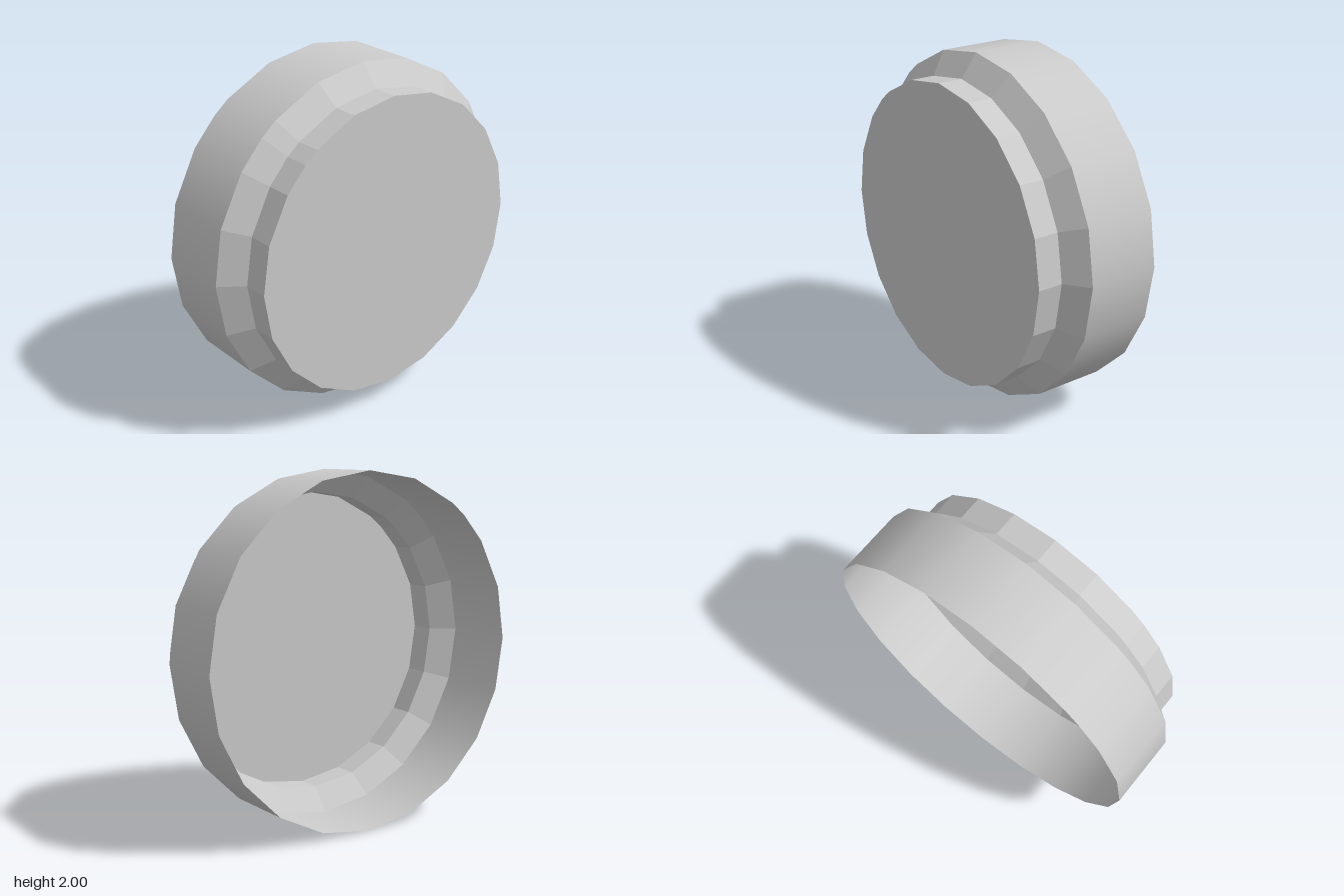
import * as THREE from 'three';

const SIDES = 20;
const RIM = 1, COLLAR = 0.87;
const BACK = -0.33, SHOULDER_BACK = 0.09, SHOULDER_FRONT = 0.185, FRONT = 0.33;

// Angles clockwise from the top, with one extra corner on the upper right-hand side
const angles = Array.from({ length: SIDES }, (_, i) => (i * 2 * Math.PI) / SIDES);
angles.push(THREE.MathUtils.degToRad(360 - 42.5));
angles.sort((a, b) => a - b);
angles.push(2 * Math.PI);

// Band of quads between a back ring and a front ring
function band(backR, backZ, frontR, frontZ, smooth) {
  const positions = [], normals = [], index = [];
  angles.forEach((a, i) => {
    const s = Math.sin(a), c = Math.cos(a);
    positions.push(backR * s, backR * c, backZ, frontR * s, frontR * c, frontZ);
    normals.push(s, c, 0, s, c, 0);
    if (i < angles.length - 1) {
      const k = i * 2;
      index.push(k, k + 1, k + 3, k, k + 3, k + 2);
    }
  });
  const geometry = new THREE.BufferGeometry();
  geometry.setAttribute('position', new THREE.Float32BufferAttribute(positions, 3));
  geometry.setAttribute('normal', new THREE.Float32BufferAttribute(normals, 3));
  geometry.setIndex(index);
  if (smooth) return geometry;
  const flat = geometry.toNonIndexed();
  flat.computeVertexNormals();
  return flat;
}

export function createModel() {
  const group = new THREE.Group();
  group.name = 'cap';
  const material = new THREE.MeshStandardMaterial({ color: 0xcccccc, side: THREE.DoubleSide });

  const add = (name, geometry) => {
    const mesh = new THREE.Mesh(geometry, material);
    mesh.name = name;
    mesh.position.y = RIM;
    group.add(mesh);
    return mesh;
  };

  // Thin shell, open at the back
  add('outerWall', band(RIM, BACK, RIM, SHOULDER_BACK, true));
  add('shoulder', band(RIM, SHOULDER_BACK, COLLAR, SHOULDER_FRONT, false));
  add('collar', band(COLLAR, SHOULDER_FRONT, COLLAR, FRONT, false));

  // Flat front face closing the collar
  const outline = angles.slice(0, -1).map(
    (a) => new THREE.Vector2(COLLAR * Math.sin(a), COLLAR * Math.cos(a)));
  add('frontFace', new THREE.ShapeGeometry(new THREE.Shape(outline))).position.z = FRONT;

  return group;
}
